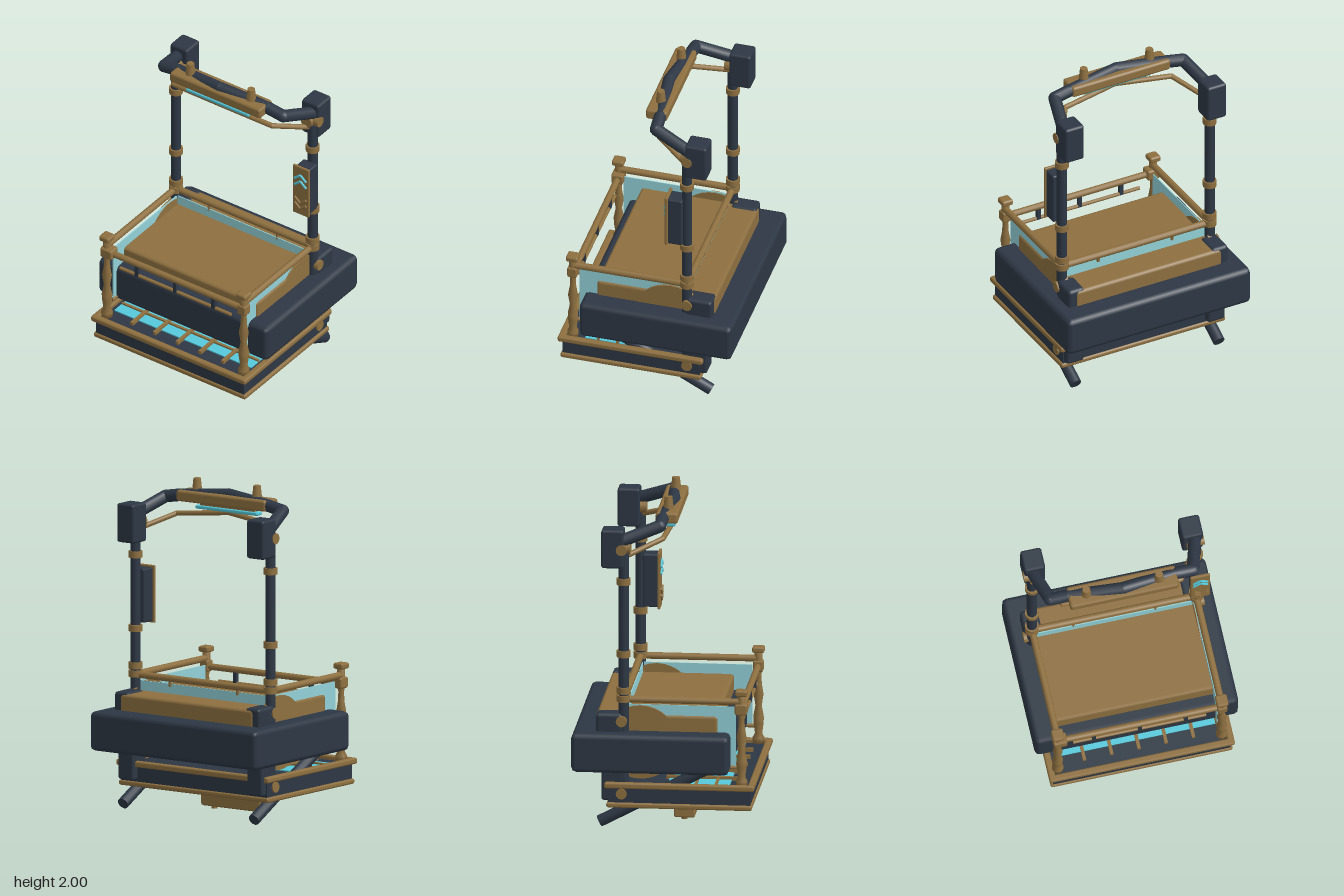
import * as THREE from 'three';
import { RoundedBoxGeometry } from 'three/addons/geometries/RoundedBoxGeometry.js';

const mat = (name, color) => {
  const m = new THREE.MeshStandardMaterial({ color });
  m.name = name;
  return m;
};

export function createModel() {
  const root = new THREE.Group();
  root.name = 'standingPlatform';
  const dark = mat('dark navy', 0x2d3744);
  const gold = mat('brass', 0x8e7040);
  const cyan = mat('bright cyan', 0x55c8da);
  const glass = mat('pale glass', 0x92d2d8);

  const V = (x, y, z) => new THREE.Vector3(x, y, z);
  const add = (name, geo, m, x = 0, y = 0, z = 0) => {
    const o = new THREE.Mesh(geo, m);
    o.name = name;
    o.position.set(x, y, z);
    root.add(o);
    return o;
  };
  // Box given by its min and max on each axis, with an optional chamfer
  const box = (name, m, x0, x1, y0, y1, z0, z1, r = 0) => {
    const s = [x1 - x0, y1 - y0, z1 - z0];
    const g = r ? new RoundedBoxGeometry(...s, 1, r) : new THREE.BoxGeometry(...s);
    return add(name, g, m, (x0 + x1) / 2, (y0 + y1) / 2, (z0 + z1) / 2);
  };
  // Straight rod between two points
  const rod = (name, m, a, b, r, sides = 12) => {
    const d = b.clone().sub(a);
    const o = add(name, new THREE.CylinderGeometry(r, r, d.length(), sides), m);
    o.position.copy(a).add(b).multiplyScalar(0.5);
    o.quaternion.setFromUnitVectors(V(0, 1, 0), d.normalize());
    return o;
  };
  // Bent pipe: straight rods with ball joints
  const pipe = (name, m, pts, r) => pts.forEach((p, i) => {
    add(name + 'Joint', new THREE.SphereGeometry(r, 12, 8), m, p.x, p.y, p.z);
    if (i) rod(name, m, pts[i - 1], p, r);
  });
  // Flat rectangular rim around the base
  const rim = (name, x, y0, y1, z0, z1, w) => {
    for (const s of [-1, 1]) box(name, gold, s > 0 ? x - w : -x, s > 0 ? x : w - x, y0, y1, z0, z1, 0.012);
    box(name, gold, -x, x, y0, y1, z1 - w, z1, 0.012);
    box(name, gold, -x, x, y0, y1, z0, z0 + w, 0.012);
  };

  // Base tray with its two brass rims and the lit floor grid
  box('base', dark, -0.54, 0.54, 0.165, 0.29, -0.33, 0.52);
  rim('upperRim', 0.565, 0.28, 0.317, -0.352, 0.545, 0.042);
  rim('lowerRim', 0.555, 0.16, 0.192, -0.34, 0.53, 0.04);
  box('floorLight', cyan, -0.5, 0.5, 0.29, 0.297, 0.02, 0.39);
  for (let i = -2; i <= 2; i++) box('floorBar', gold, i * 0.166 - 0.01, i * 0.166 + 0.01, 0.285, 0.312, 0.0, 0.45);
  for (const z of [0.19, 0.31]) box('floorCrossBar', gold, -0.5, 0.5, 0.287, 0.307, z - 0.008, z + 0.008);

  // Main slab, its raised bed, and the light under it
  box('slab', dark, -0.62, 0.62, 0.387, 0.625, -0.545, 0.397, 0.03);
  box('bed', gold, -0.495, 0.495, 0.58, 0.725, -0.408, 0.322, 0.02);
  box('underLight', cyan, -0.315, 0.315, 0.357, 0.38, 0.0, 0.32, 0.008);
  box('underMount', dark, -0.225, 0.225, 0.33, 0.39, 0.02, 0.27);
  for (const x of [-0.15, -0.03, 0.03, 0.15])
    rod('underRoller', gold, V(x - 0.02, 0.335, 0.2), V(x + 0.02, 0.335, 0.2), 0.045, 16);

  // Foot pedestal and its hinge discs
  box('footBlock', gold, -0.22, 0.22, 0.02, 0.1, 0.03, 0.157, 0.012);
  box('footPlate', dark, -0.21, 0.21, 0.125, 0.17, 0.0, 0.17);
  for (const s of [-1, 1]) {
    rod('hingeDisc', gold, V(s * 0.022 - 0.009, 0.26, 0.085), V(s * 0.022 + 0.009, 0.26, 0.085), 0.145, 24);
    rod('footRod', gold, V(s * 0.022, 0.09, 0.09), V(s * 0.022, 0.17, 0.09), 0.014);
    rod('footPin', gold, V(s * 0.16, 0.0, 0.09), V(s * 0.16, 0.17, 0.09), 0.018);
  }

  // Turned profile for the front posts
  const turned = [[0, 0.3], [0.035, 0.3], [0.035, 0.335], [0.022, 0.36], [0.03, 0.42], [0.032, 0.46],
    [0.019, 0.53], [0.03, 0.6], [0.02, 0.66], [0.017, 0.72], [0.024, 0.75], [0.024, 0.855], [0, 0.86]]
    .map(p => new THREE.Vector2(...p));

  for (const s of [-1, 1]) {
    const x = s * 0.5;
    const span = (name, m, a, b, ...r) => box(name, m, Math.min(s * a, s * b), Math.max(s * a, s * b), ...r);
    // Front post
    add('frontPost', new THREE.LatheGeometry(turned, 12), gold, x, 0, 0.465);
    box('frontPostCap', gold, x - 0.036, x + 0.036, 0.858, 0.895, 0.428, 0.502, 0.012);
    box('frontPostBlock', gold, x - 0.03, x + 0.03, 0.742, 0.81, 0.435, 0.495, 0.01);
    // Rear post with collars, brackets and knobs
    rod('rearPost', dark, V(x, 0.2, -0.24), V(x, 1.72, -0.24), 0.031, 16);
    for (const y of [0.825, 0.875, 1.1, 1.545])
      rod('collar', gold, V(x, y - 0.02, -0.24), V(x, y + 0.02, -0.24), 0.042);
    span('lowerBracket', dark, 0.42, 0.535, 0.2, 0.4, -0.372, -0.24, 0.015);
    span('middleBracket', dark, 0.43, 0.54, 0.6, 0.735, -0.403, -0.245, 0.02);
    span('topBracket', dark, 0.417, 0.545, 1.63, 1.865, -0.372, -0.238, 0.015);
    for (const [y, x1] of [[0.245, 0.55], [0.69, 0.55], [1.745, 0.55]])
      rod('knob', gold, V(s * 0.46, y, -0.25), V(s * x1, y, -0.25), 0.033);
    rod('archClamp', gold, V(s * 0.48, 1.745, -0.25), V(s * 0.48, 1.745, -0.2), 0.04);
    // Side rail, side glass and round side plate
    rod('sideRail', gold, V(x, 0.82, 0.465), V(x, 0.82, -0.24), 0.021);
    span('sideGlass', glass, 0.478, 0.484, 0.41, 0.785, -0.22, 0.43);
    rod('glassSill', gold, V(s * 0.481, 0.41, 0.44), V(s * 0.481, 0.41, 0.38), 0.012);
    rod('sidePlate', gold, V(s * 0.474, 0.555, -0.14), V(s * 0.497, 0.555, -0.14), 0.225, 32);
    // Slanted leg
    rod('slantedLeg', dark, V(s * 0.485, 0.4, 0.26), V(s * 0.485, 0.06, -0.385), 0.036);
    // Finial on the overhead block
    const fx = s * 0.222;
    add('finial', new THREE.CylinderGeometry(0.023, 0.034, 0.1, 10), gold, fx, 1.95, 0.0);
  }
  box('railBlock', gold, -0.53, -0.445, 0.742, 0.808, 0.425, 0.5, 0.012);

  // Front and back rails, back glass
  rod('frontRail', gold, V(-0.5, 0.772, 0.462), V(0.5, 0.772, 0.462), 0.02);
  rod('lowerFrontRail', gold, V(-0.405, 0.69, 0.462), V(0.405, 0.69, 0.462), 0.011);
  for (const x of [-0.28, 0, 0.28]) box('railSpacer', dark, x - 0.012, x + 0.012, 0.685, 0.765, 0.45, 0.474);
  rod('backRail', gold, V(-0.5, 0.82, -0.24), V(0.5, 0.82, -0.24), 0.021);
  box('backGlass', glass, -0.475, 0.475, 0.7, 0.785, -0.228, -0.222);
  for (const x of [-0.25, 0.25]) rod('glassClip', gold, V(x, 0.77, -0.23), V(x, 0.81, -0.235), 0.01);

  // Overhead arch, its block, light and thin brace
  const mirror = half => [...half.map(p => V(-p[0], p[1], p[2])), ...half.slice(0, -1).reverse().map(p => V(...p))];
  pipe('arch', dark, mirror([[0.5, 1.785, -0.27], [0.435, 1.872, -0.03], [0.33, 1.89, -0.025], [0, 1.92, 0.012]]), 0.038);
  pipe('archBrace', gold, mirror([[0.485, 1.7, -0.22], [0.36, 1.775, -0.02], [0, 1.81, 0.02]]), 0.016);
  box('archBlock', gold, -0.332, 0.332, 1.857, 1.925, -0.068, 0.066, 0.016);
  box('archLight', cyan, -0.23, 0.23, 1.815, 1.837, -0.012, 0.042, 0.008);
  box('archLightMount', gold, -0.2, 0.2, 1.832, 1.86, 0.0, 0.03);

  // Control panel with up and down chevrons
  box('panelHousing', dark, 0.45, 0.55, 1.13, 1.455, -0.222, -0.13, 0.01);
  box('panelFace', gold, 0.44, 0.558, 1.12, 1.467, -0.135, -0.117, 0.006);
  const chevron = (name, m, y, dir) => {
    for (const s of [-1, 1])
      rod(name, m, V(0.5, y + dir * 0.018, -0.114), V(0.5 + s * 0.042, y - dir * 0.018, -0.114), 0.008, 8);
  };
  for (const y of [1.35, 1.395]) chevron('upChevron', cyan, y, 1);
  for (const y of [1.185, 1.225]) chevron('downChevron', gold, y, -1);

  return root;
}
